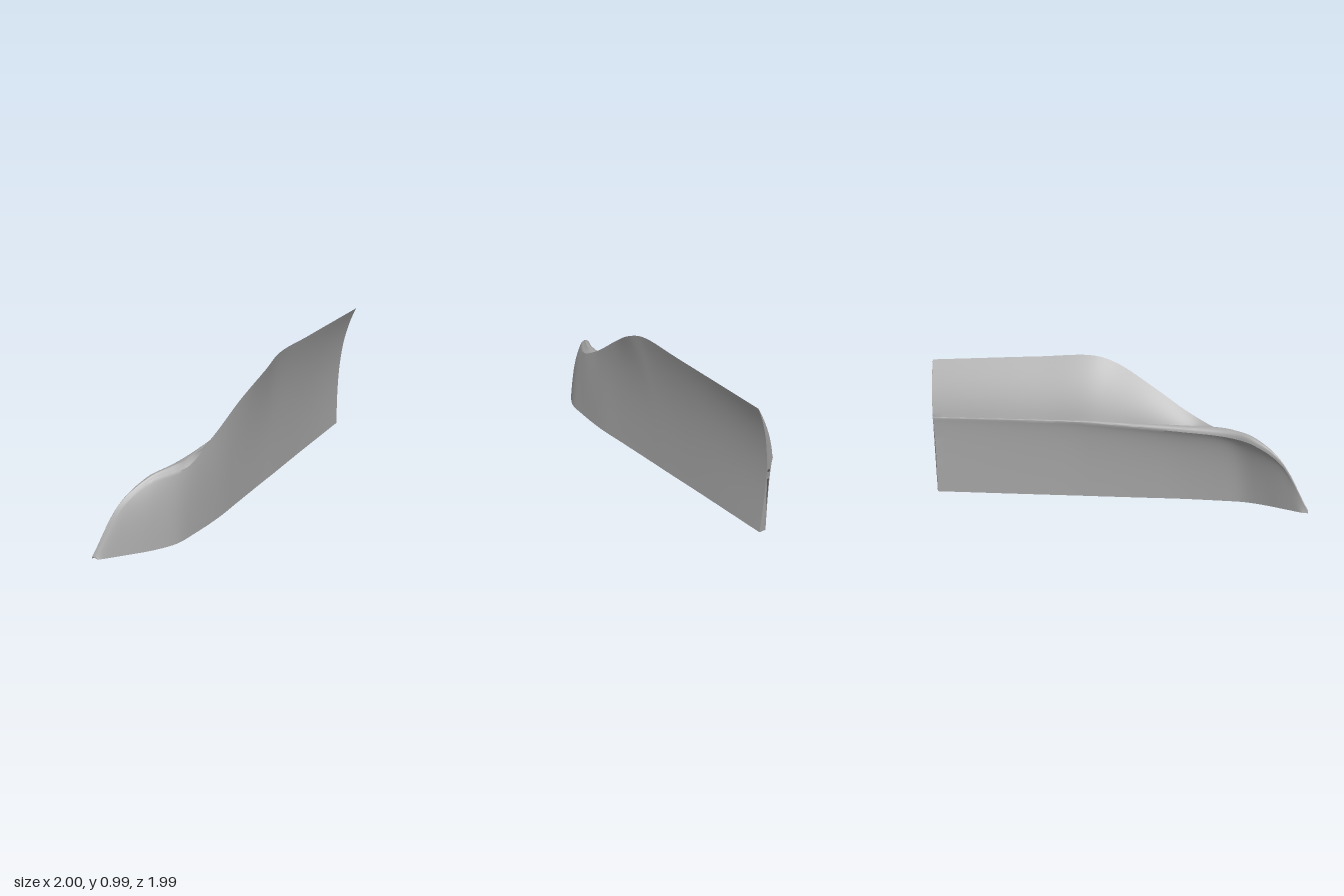
import * as THREE from 'three';
import { toCreasedNormals } from 'three/addons/utils/BufferGeometryUtils.js';

const V = (x, y, z) => new THREE.Vector3(x, y, z);
const rail = pts => new THREE.CatmullRomCurve3(pts.map(p => V(...p)));

// Rails run from the nose to the rear end; station k of each rail belongs to one section
const bottomRail = rail([[-.96, 0, .99], [-.80, 0, .953], [-.6, 0, .9], [-.45, 0, .83], [-.33, 0, .71],
  [-.15, 0, .5], [0, 0, .29], [.2, 0, .01], [.28, 0, -.1], [.5, 0, -.41], [.88, 0, -.936]]);
const bulgeRail = rail([[-.97, .01, .985], [-.81, .22, .925], [-.61, .32, .87], [-.46, .34, .80], [-.34, .36, .705],
  [-.155, .43, .5], [0, .5, .29], [.2, .62, .01], [.28, .65, -.1], [.5, .65, -.41], [.885, .65, -1]]);
const topRail = rail([[-.98, .015, .982], [-.79, .325, .885], [-.6, .455, .8], [-.46, .475, .745], [-.36, .485, .69],
  [-.2, .595, .53], [.01, .78, .33], [.2, .925, .165], [.3, .98, .03], [.55, .968, -.31], [1, .935, -.93]]);
const creaseRail = rail([[-.99, .015, .976], [-.805, .335, .875], [-.615, .468, .785], [-.475, .503, .72], [-.38, .515, .66],
  [-.22, .522, .455], [-.03, .53, .19], [.13, .54, -.03], [.24, .54, -.18], [.44, .54, -.46], [.842, .54, -.992]]);
const ridgeRail = rail([[-1, 0, .97], [-.82, .3, .872], [-.64, .42, .76], [-.51, .45, .69], [-.41, .465, .605],
  [-.26, .48, .435], [-.08, .5, .205], [.11, .52, -.04], [.23, .53, -.19], [.435, .53, -.46], [.84, .53, -.995]]);

const STATIONS = 90, OUT = 18, PANEL = 12, LIP = 6, WALL = 12;

// Closed section: outer skin up, upper panel down, rounded lip, inner wall down
function section(t) {
  const [B, M, T, C, R] = [bottomRail, bulgeRail, topRail, creaseRail, ridgeRail].map(r => r.getPoint(t));
  const d = bottomRail.getTangent(t);
  const n = V(-d.z, 0, d.x).normalize();
  const I = B.clone().addScaledVector(n, -0.05);
  const outer = new THREE.CubicBezierCurve3(B, B.clone().lerp(M, .5), M, T).getPoints(OUT);
  const mid = T.clone().lerp(C, .5).addScaledVector(n, -0.1 * T.distanceTo(C));
  const panel = new THREE.QuadraticBezierCurve3(T, mid, C).getPoints(PANEL).slice(1);
  const lip = new THREE.QuadraticBezierCurve3(C, V(R.x, Math.max(C.y, R.y), R.z), R).getPoints(LIP).slice(1);
  const knee = I.clone().lerp(R, .3).setY(R.y * .85);
  const wall = new THREE.QuadraticBezierCurve3(R, knee, I).getPoints(WALL).slice(1);
  return [...outer, ...panel, ...lip, ...wall];
}

function panelGeometry(rings) {
  const pos = [];
  const tri = (a, b, c) => pos.push(...a.toArray(), ...b.toArray(), ...c.toArray());
  const m = rings[0].length;
  for (let i = 0; i < rings.length - 1; i++) {
    for (let j = 0; j < m; j++) {
      const k = (j + 1) % m, p = rings[i], q = rings[i + 1];
      tri(p[j], q[j], q[k]);
      tri(p[j], q[k], p[k]);
    }
  }
  // Nose closed by a small fan
  const nose = rings[0];
  const centre = nose.reduce((s, p) => s.add(p), V(0, 0, 0)).divideScalar(m);
  for (let j = 0; j < m; j++) tri(centre, nose[j], nose[(j + 1) % m]);
  // Flat rear end
  const end = rings[rings.length - 1].slice().reverse();
  const flat = end.map(p => new THREE.Vector2(-.81 * p.x - .585 * p.z, p.y));
  for (const [a, b, c] of THREE.ShapeUtils.triangulateShape(flat, [])) tri(end[a], end[b], end[c]);

  const g = new THREE.BufferGeometry();
  g.setAttribute('position', new THREE.Float32BufferAttribute(pos, 3));
  return toCreasedNormals(g, 0.6);
}

export function createModel() {
  const group = new THREE.Group();
  group.name = 'sidePanel';
  const grey = new THREE.MeshStandardMaterial({ color: 0xa6a6a6 });
  grey.name = 'panel grey';
  const dark = new THREE.MeshStandardMaterial({ color: 0x5c5c5c });
  dark.name = 'recess grey';

  const rings = [];
  for (let i = 0; i <= STATIONS; i++) rings.push(section(i / STATIONS));
  const body = new THREE.Mesh(panelGeometry(rings), grey);
  body.name = 'curvedPanel';
  group.add(body);

  const plate = (name, geo, p, normal) => {
    const mesh = new THREE.Mesh(geo, dark);
    mesh.name = name;
    mesh.position.copy(p).addScaledVector(normal, .003);
    mesh.lookAt(mesh.position.clone().add(normal));
    group.add(mesh);
  };

  // Bolt holes and slot on the rear end
  const end = rings[STATIONS];
  const nearest = (list, y) => list.reduce((a, b) => Math.abs(b.y - y) < Math.abs(a.y - y) ? b : a);
  const endCentre = y => nearest(end.slice(0, OUT), y).clone()
    .lerp(nearest(end.slice(-WALL), y), .5).setY(y);
  const endNormal = V(.58, -.06, -.81).normalize();
  for (const y of [.14, .45]) plate('endBoltHole', new THREE.CircleGeometry(.011, 16), endCentre(y), endNormal);
  plate('endSlot', new THREE.PlaneGeometry(.016, .2), endCentre(.29), endNormal);

  // Bolt holes along the underside
  for (const i of [22, 42, 62, 84]) {
    const r = rings[i];
    plate('undersideBoltHole', new THREE.CircleGeometry(.009, 16),
      r[0].clone().lerp(r[r.length - 1], .5).setY(.002), V(0, -1, 0));
  }
  return group;
}
